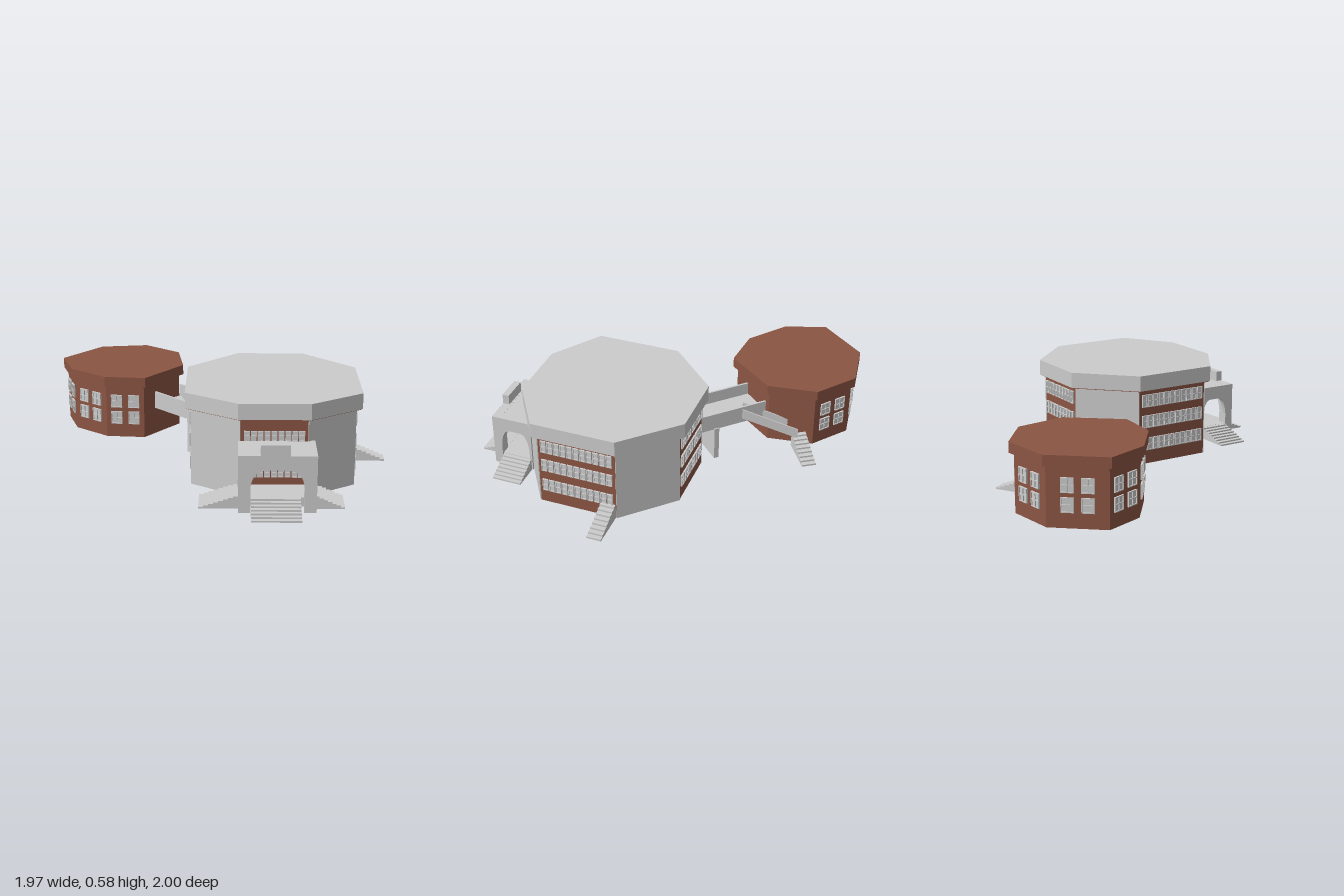
import * as THREE from 'three';

const mat = (color) => new THREE.MeshStandardMaterial({ color, flatShading: true });
const grey = mat(0xcccccc);
const brick = mat(0x8b5543);

function add(parent, name, geometry, material, x = 0, y = 0, z = 0) {
  const mesh = new THREE.Mesh(geometry, material);
  mesh.name = name;
  mesh.position.set(x, y, z);
  parent.add(mesh);
  return mesh;
}
const box = (parent, name, w, h, d, x, y, z, m = grey) =>
  add(parent, name, new THREE.BoxGeometry(w, h, d), m, x, y, z);
const extrude = (shape, depth) =>
  new THREE.ExtrudeGeometry(shape, { depth, bevelEnabled: false, curveSegments: 8 });
const shapeOf = (pts) => new THREE.Shape(pts.map(([x, y]) => new THREE.Vector2(x, y)));

// Upright prism over an (x, z) outline
function prism(parent, name, outline, y0, y1, material) {
  const g = extrude(shapeOf(outline.map(([x, z]) => [x, -z])), y1 - y0);
  return add(parent, name, g.rotateX(-Math.PI / 2), material, 0, y0, 0);
}
const inset = (outline, k, cx, cz) =>
  outline.map(([x, z]) => [cx + (x - cx) * k, cz + (z - cz) * k]);

// Group whose x axis runs along a -> b and whose z axis points outward
function along(parent, name, a, b, atStart = false) {
  const g = new THREE.Group();
  const dx = b[0] - a[0], dz = b[1] - a[1];
  g.name = name;
  g.position.set(atStart ? a[0] : (a[0] + b[0]) / 2, 0, atStart ? a[1] : (a[1] + b[1]) / 2);
  g.rotation.y = Math.atan2(-dz, dx);
  g.userData.length = Math.hypot(dx, dz);
  parent.add(g);
  return g;
}

// Window frame with cols x rows of openings and a recessed pane
function windowUnit(parent, x, y, w, h, cols, rows) {
  const s = shapeOf([[-w / 2, -h / 2], [w / 2, -h / 2], [w / 2, h / 2], [-w / 2, h / 2]]);
  const bar = 0.005;
  const cw = (w - bar) / cols, ch = (h - bar) / rows;
  for (let i = 0; i < cols; i++) for (let j = 0; j < rows; j++) {
    const l = -w / 2 + i * cw + bar, r = -w / 2 + (i + 1) * cw;
    const b = -h / 2 + j * ch + bar, t = -h / 2 + (j + 1) * ch;
    s.holes.push(new THREE.Path([[l, b], [l, t], [r, t], [r, b]].map((p) => new THREE.Vector2(...p))));
  }
  add(parent, 'windowFrame', extrude(s, 0.01), grey, x, y, 0);
  box(parent, 'windowPane', w - 0.004, h - 0.004, 0.004, x, y, 0.002);
}

// Solid flight descending from a to b
function stairs(parent, name, a, b, width, top, n) {
  const base = 0.04;
  const g = along(parent, name, a, b, true);
  const run = g.userData.length, pts = [[0, base]];
  for (let i = 0; i < n; i++) {
    const y = top - ((top - base) * i) / n;
    pts.push([(run * i) / n, y], [(run * (i + 1)) / n, y]);
  }
  pts.push([run, base]);
  add(g, 'steps', extrude(shapeOf(pts), width), grey, 0, 0, -width / 2);
}

function mainHall(root) {
  const hall = new THREE.Group();
  hall.name = 'mainHall';
  root.add(hall);
  const roof = [[0.12, 0.68], [0.51, 0.68], [0.8, 0.49], [0.8, 0],
    [0.51, -0.29], [0.12, -0.29], [-0.17, 0], [-0.17, 0.49]];
  const body = inset(roof, 0.93, 0.315, 0.2);
  prism(hall, 'roof', roof, 0.49, 0.58, grey);
  prism(hall, 'soffit', inset(roof, 0.98, 0.315, 0.2), 0.484, 0.49, brick);
  prism(hall, 'walls', body, 0.04, 0.49, brick);
  body.forEach((a, i) => {
    const face = along(hall, 'wallFace', a, body[(i + 1) % 8]);
    const len = face.userData.length;
    if (i % 2) { // plain grey corner walls
      box(face, 'cornerWall', len, 0.444, 0.006, 0, 0.263, 0.002);
      return;
    }
    // three storeys of window bands
    const n = i % 4 ? 11 : 9, pitch = (len - 0.03) / n;
    const rows = i === 0 ? [0.39, 0.275, 0.18] : [0.42, 0.295, 0.16];
    for (const y of rows) {
      for (let k = 0; k < n; k++) {
        windowUnit(face, (k - (n - 1) / 2) * pitch, y, pitch - 0.005, i === 0 ? 0.055 : 0.075, 1, 2);
      }
    }
  });
  stairs(hall, 'sideStairs', [0.765, 0.06], [0.98, 0.06], 0.085, 0.13, 8);
}

// Opening with straight jambs and a rounded head
function archHole(x0, x1, y0, ySpring, yTop) {
  const p = new THREE.Path(), r = (x1 - x0) * 0.32;
  p.moveTo(x0, y0);
  p.lineTo(x0, ySpring);
  p.quadraticCurveTo(x0 + 0.01, yTop, x0 + r, yTop);
  p.lineTo(x1 - r, yTop);
  p.quadraticCurveTo(x1 - 0.01, yTop, x1, ySpring);
  p.lineTo(x1, y0);
  return p.getPoints(8);
}

function porch(root) {
  const g = new THREE.Group();
  g.name = 'porch';
  root.add(g);
  const arched = (x0, x1, h0, h1, spring) => shapeOf([[x0, 0.04], [h0, 0.04],
    ...archHole(h0, h1, 0.04, spring, 0.28).slice(1).map((p) => [p.x, p.y]),
    ...(x1 > h1 ? [[x1, 0.04]] : []), [x1, 0.36], [x0, 0.36]]);
  add(g, 'frontArch', extrude(arched(0.12, 0.535, 0.185, 0.47, 0.18), 0.05), grey, 0, 0, 0.825);
  // side arches: local x runs from the wall towards the front
  for (const x of [0.12, 0.505]) {
    const side = add(g, 'sideArch', extrude(arched(0.635, 0.826, 0.65, 0.825, 0.17), 0.03), grey, x + 0.03, 0, 0);
    side.rotation.y = -Math.PI / 2;
    side.position.x = x + 0.03;
  }
  box(g, 'porchRoof', 0.413, 0.03, 0.225, 0.3275, 0.344, 0.75);
  box(g, 'porchParapet', 0.155, 0.06, 0.04, 0.315, 0.39, 0.855);
  box(g, 'porchFloor', 0.4, 0.05, 0.19, 0.325, 0.084, 0.735);
  stairs(g, 'frontStairs', [0.32, 0.83], [0.32, 1.0], 0.265, 0.11, 7);
  stairs(g, 'leftStairs', [0.53, 0.73], [0.69, 0.73], 0.175, 0.11, 7);
  stairs(g, 'rightStairs', [0.12, 0.73], [-0.09, 0.73], 0.175, 0.11, 8);
}

function annex(root) {
  const g = new THREE.Group();
  g.name = 'annex';
  root.add(g);
  const roof = [[-0.69, -0.28], [-0.44, -0.26], [-0.22, -0.54], [-0.26, -0.83],
    [-0.48, -1.0], [-0.77, -0.96], [-0.99, -0.69], [-0.91, -0.45]];
  const body = inset(roof, 0.93, -0.605, -0.63);
  prism(g, 'annexRoof', roof, 0.37, 0.43, brick);
  prism(g, 'annexWalls', body, 0.04, 0.37, brick);
  body.forEach((a, i) => {
    if (i === 1 || i === 2) return; // faces taken by the bridge and ramp
    const face = along(g, 'annexFace', a, body[(i + 1) % 8]);
    for (const x of [-0.053, 0.053]) for (const y of [0.165, 0.27]) {
      windowUnit(face, x, y, 0.068, 0.08, 2, 2);
    }
  });
  stairs(g, 'annexStairs', [-0.25, -0.735], [-0.065, -0.855], 0.085, 0.125, 8);
}

function bridge(root) {
  const g = along(root, 'bridge', [-0.315, -0.45], [0.0, -0.135]);
  const len = g.userData.length;
  box(g, 'bridgeFloor', len, 0.03, 0.215, 0, 0.22, 0);
  for (const s of [-1, 1]) box(g, 'bridgeParapet', len, 0.105, 0.012, 0, 0.2575, s * 0.107);
  // pier wall under the bridge
  box(g, 'bridgePier', 0.03, 0.21, 0.24, 0.1, 0.105, 0);

  // ramp down to the annex stairs
  const ramp = along(root, 'ramp', [-0.16, -0.41], [-0.25, -0.73], true);
  const run = ramp.userData.length;
  const band = (h) => shapeOf([[0, 0.235], [run, 0.11], [run, 0.11 + h], [0, 0.235 + h]]);
  add(ramp, 'rampFloor', extrude(band(0.015), 0.07), grey, 0, 0, -0.035);
  for (const z of [-0.041, 0.031]) add(ramp, 'rampParapet', extrude(band(0.06), 0.01), grey, 0, 0, z);
}

export function createModel() {
  const root = new THREE.Group();
  root.name = 'hallWithAnnex';
  mainHall(root);
  porch(root);
  annex(root);
  bridge(root);
  return root;
}
